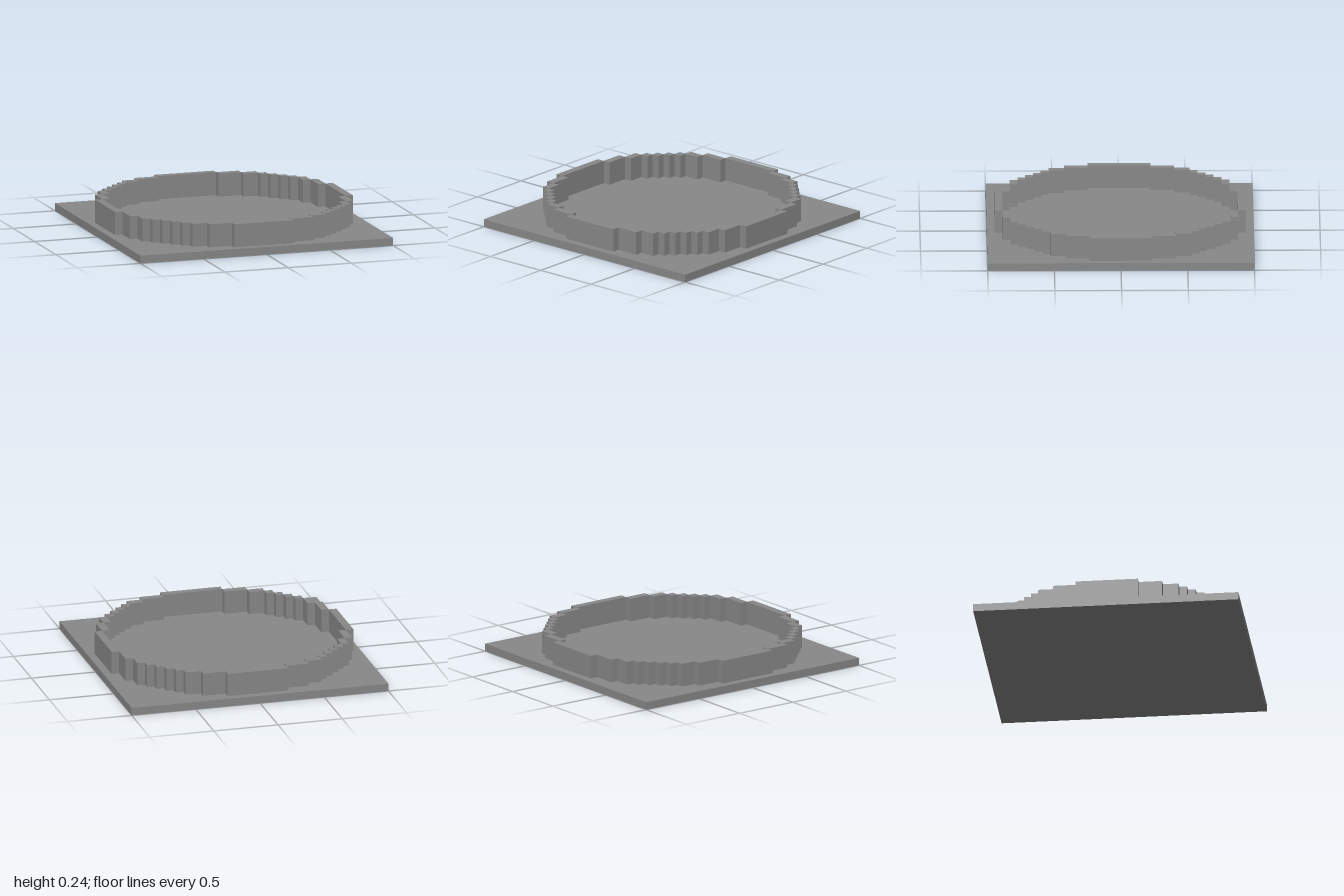
import * as THREE from 'three';

const U = 2 / 34; // one block

export function createModel() {
  const model = new THREE.Group();
  model.name = 'blockRing';
  const stone = new THREE.MeshStandardMaterial({ color: 0x888888 });
  stone.name = 'grey stone';

  // Box given by its ranges in blocks
  const addBlock = (name, parent, x0, x1, y0, y1, z0, z1) => {
    const mesh = new THREE.Mesh(
      new THREE.BoxGeometry((x1 - x0) * U, (y1 - y0) * U, (z1 - z0) * U), stone);
    mesh.position.set((x0 + x1) / 2 * U, (y0 + y1) / 2 * U, (z0 + z1) / 2 * U);
    mesh.name = name;
    parent.add(mesh);
  };

  // Square floor slab
  addBlock('floor', model, -17, 17, 0, 1, -17, 17);

  // One quarter of the stepped circular wall, turned four times:
  // [x start, x end, z start, z end]
  const steps = [
    [-4, 4, 15, 16],
    [4, 7, 14, 15],
    [7, 9, 13, 14],
    [9, 10, 12, 13],
    [10, 11, 11, 12],
    [11, 12, 10, 11],
    [12, 13, 9, 10],
    [13, 14, 7, 9],
    [14, 15, 4, 7],
  ];
  for (let q = 0; q < 4; q++) {
    const quarter = new THREE.Group();
    quarter.name = 'wallQuarter';
    quarter.rotation.y = q * Math.PI / 2;
    for (const [x0, x1, z0, z1] of steps) addBlock('wallSegment', quarter, x0, x1, 1, 4, z0, z1);
    model.add(quarter);
  }
  return model;
}
